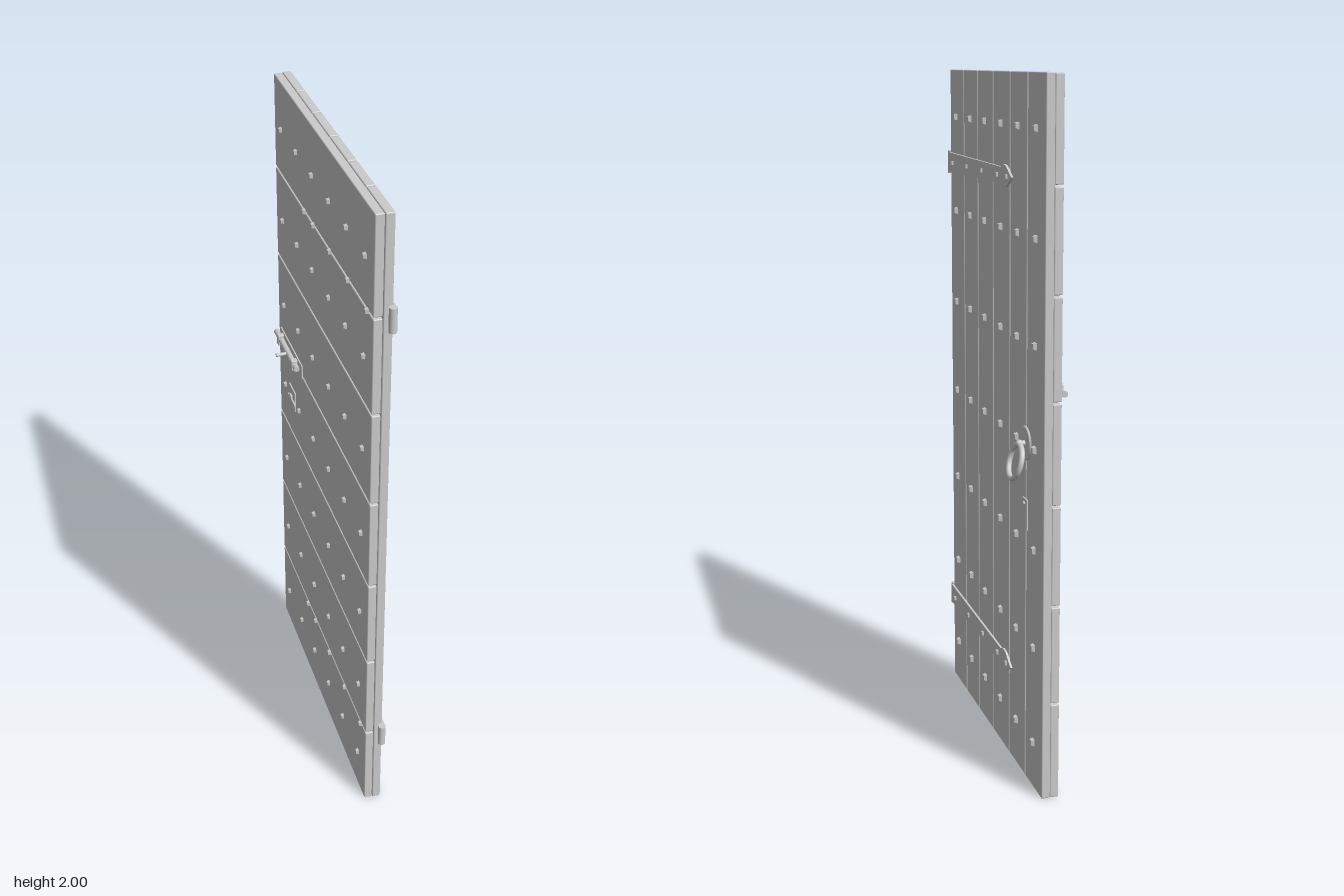
import * as THREE from 'three';
import { RoundedBoxGeometry } from 'three/addons/geometries/RoundedBoxGeometry.js';

const material = new THREE.MeshStandardMaterial({ color: 0xcccccc });

export function createModel() {
  const door = new THREE.Group();
  door.name = 'plankDoor';

  const add = (name, geometry, x, y, z, parent = door) => {
    const mesh = new THREE.Mesh(geometry, material);
    mesh.name = name;
    mesh.position.set(x, y, z);
    parent.add(mesh);
    return mesh;
  };
  const box = (w, h, d, r = 0.002) => new RoundedBoxGeometry(w, h, d, 1, r);
  // cylinder lying along x, radius r0 at the inner end and r1 at the +x end
  const rod = (r1, r0, length, sides = 16) =>
    new THREE.CylinderGeometry(r1, r0, length, sides).rotateZ(-Math.PI / 2);

  // square tapered nail heads; side = +1 on the outer face, -1 on the inner
  const nailGeometry = (size) => new THREE.CylinderGeometry(size * 0.5, size * 0.7, 0.01, 4)
    .rotateY(Math.PI / 4).rotateZ(-Math.PI / 2).toNonIndexed();
  const bigNail = nailGeometry(0.02);
  const smallNail = nailGeometry(0.014);
  bigNail.computeVertexNormals();
  smallNail.computeVertexNormals();
  const nail = (name, geometry, x, y, z, side) => {
    add(name, geometry, x, y, z).rotation.y = side > 0 ? 0 : Math.PI;
  };

  // outer layer: six upright planks
  const edges = [0.463, 0.307, 0.155, -0.005, -0.168, -0.325, -0.484];
  const gap = 0.006;
  for (let i = 0; i < 6; i++) {
    const width = edges[i] - edges[i + 1] - gap;
    add('uprightPlank', box(0.025, 1.996, width, 0.003), 0.0125, 1.001, (edges[i] + edges[i + 1]) / 2);
  }

  // inner layer: seven level planks, nailed through each upright
  const rowHeight = 2 / 7;
  const nailColumns = [0.39, 0.232, 0.076, -0.087, -0.245, -0.405];
  for (let i = 0; i < 7; i++) {
    const y = (i + 0.5) * rowHeight;
    add('levelPlank', box(0.025, rowHeight - gap, 0.936, 0.003), -0.0125, y, -0.012);
    for (const z of nailColumns) {
      nail('outerNail', bigNail, 0.03, y, z, 1);
      nail('innerNail', smallNail, -0.029, y, z, -1);
    }
  }

  // strap hinges with an arrow tip
  const strapShape = new THREE.Shape();
  const half = [[-0.472, 0.031], [0.1, 0.023], [0.125, 0.032], [0.15, 0.029]];
  half.forEach(([u, v], i) => (i ? strapShape.lineTo(u, v) : strapShape.moveTo(u, v)));
  strapShape.lineTo(0.202, 0);
  [...half].reverse().forEach(([u, v]) => strapShape.lineTo(u, -v));
  strapShape.closePath();
  const strapGeometry = new THREE.ExtrudeGeometry(strapShape, { depth: 0.007, bevelEnabled: false })
    .rotateY(Math.PI / 2);
  for (const y of [0.286, 1.716]) {
    add('hingeStrap', strapGeometry, 0.0245, y, 0);
    add('hingeBarrel', new THREE.CylinderGeometry(0.011, 0.011, 0.07, 16), 0.02, y, 0.474);
    for (const z of [0.413, 0.25, 0.086, -0.072, -0.162]) {
      nail('hingeNail', smallNail, 0.0325, y, z, 1);
      nail('hingeNailEnd', smallNail, -0.029, y, z, -1);
    }
  }

  // ring handle hanging from a round plate
  const handle = new THREE.Group();
  handle.name = 'ringHandle';
  handle.position.set(0, 1, -0.325);
  door.add(handle);
  add('handlePlate', rod(0.046, 0.049, 0.005, 24), 0.0275, 0, 0, handle);
  add('handleStem', rod(0.007, 0.009, 0.028, 12), 0.038, 0, 0, handle);
  add('handleEye', new THREE.SphereGeometry(0.011, 12, 8), 0.045, 0, 0, handle);
  const ringPivot = new THREE.Group();
  ringPivot.name = 'ringPivot';
  ringPivot.position.set(0.043, 0, 0);
  ringPivot.rotation.z = 0.26;
  handle.add(ringPivot);
  add('ring', new THREE.TorusGeometry(0.048, 0.008, 10, 32).rotateY(Math.PI / 2), 0, -0.052, 0, ringPivot);

  // keyhole cover
  add('keyholeCover', box(0.005, 0.09, 0.042), 0.0275, 0.797, -0.326);
  add('keyholeCoverPin', rod(0.005, 0.006, 0.006, 10), 0.031, 0.828, -0.326);

  // handle fixing on the inner face
  add('spindlePlate', box(0.005, 0.07, 0.07), -0.0275, 1, -0.325);
  add('spindleNut', box(0.008, 0.022, 0.022), -0.032, 1, -0.325);
  add('spindleArm', box(0.006, 0.012, 0.075), -0.034, 1, -0.31);

  // sliding bolt on the inner face
  const bolt = new THREE.Group();
  bolt.name = 'slidingBolt';
  bolt.position.set(0, 1.163, -0.33);
  door.add(bolt);
  add('boltPlate', box(0.005, 0.045, 0.245), -0.0275, 0, 0.002, bolt);
  add('boltBar', new THREE.CylinderGeometry(0.009, 0.009, 0.238, 14).rotateX(Math.PI / 2), -0.038, 0, -0.016, bolt);
  for (const z of [-0.083, 0.073]) add('boltKeeper', box(0.022, 0.034, 0.018), -0.038, 0, z, bolt);
  add('boltHandle', rod(0.005, 0.006, 0.038, 12), -0.058, 0, 0.005, bolt);

  return door;
}
